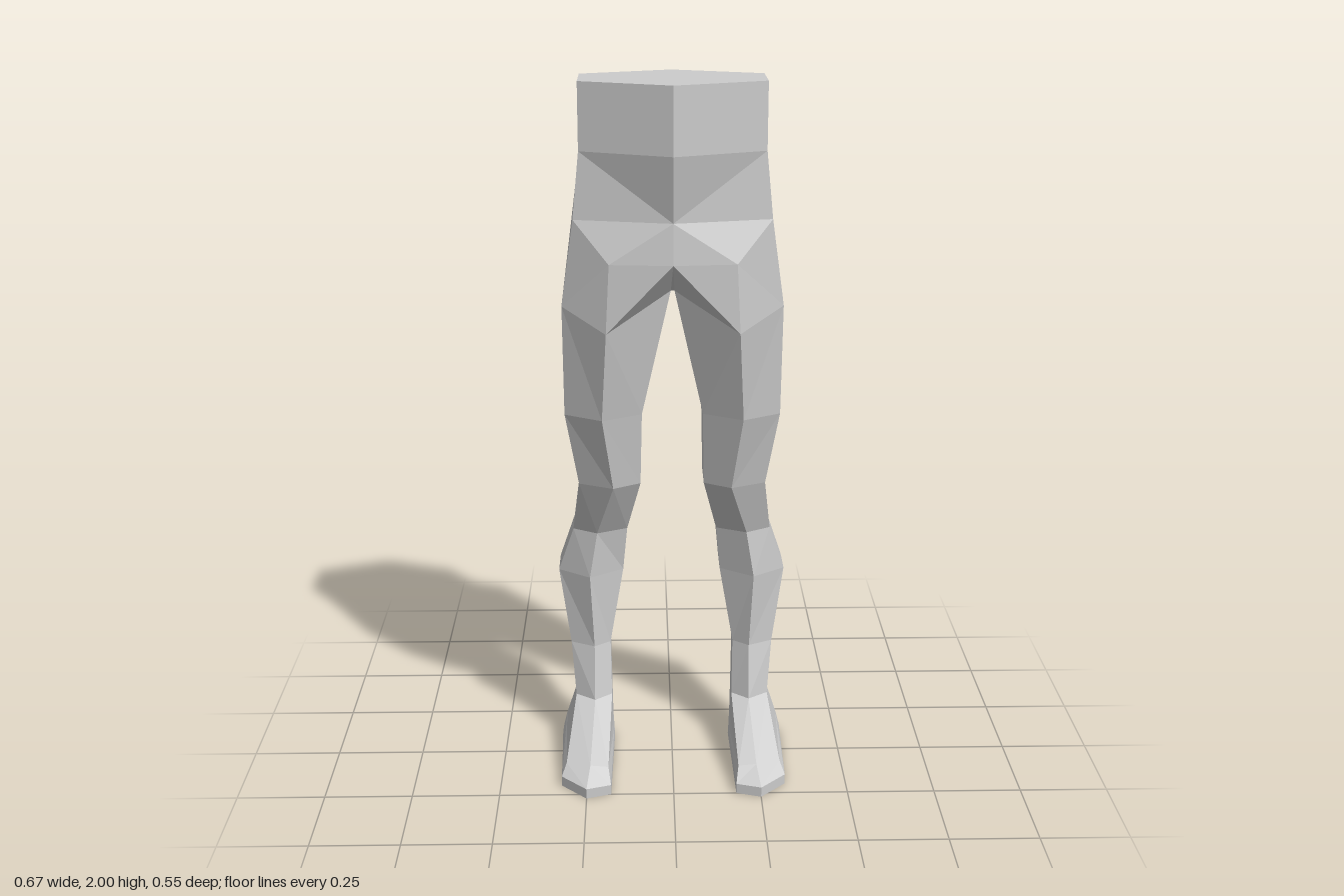
import * as THREE from 'three';

// Ring order: front, front-outer, back-outer, back, back-inner, front-inner
const quad = (a, b, c, d) => [[a, b, c], [a, c, d]];

function loft(rings) {
  const tris = [];
  for (let r = 0; r < rings.length - 1; r++) {
    const hi = rings[r], lo = rings[r + 1], n = hi.length;
    for (let i = 0; i < n; i++) {
      const j = (i + 1) % n;
      tris.push(...quad(lo[i], lo[j], hi[j], hi[i]));
    }
  }
  return tris;
}

// Mirror across x, reversing corners so faces stay outward
const mirror = (tris) => tris.map((t) => t.map(([x, y, z]) => [-x, y, z]).reverse());

function meshOf(name, tris, material) {
  const geometry = new THREE.BufferGeometry();
  geometry.setAttribute('position', new THREE.Float32BufferAttribute(tris.flat(2), 3));
  geometry.computeVertexNormals();
  const mesh = new THREE.Mesh(geometry, material);
  mesh.name = name;
  return mesh;
}

// Hexagonal leg section
const section = ([y, xOut, xIn, xF, zF, xB, zB, zFO, zBO]) => [
  [xF, y, zF], [xOut, y, zFO], [xOut, y, zBO], [xB, y, zB], [xIn, y, zBO], [xIn, y, zFO],
];

export function createModel() {
  const group = new THREE.Group();
  group.name = 'lowerBody';
  const skin = new THREE.MeshStandardMaterial({ color: 0xcccccc, flatShading: true });
  skin.name = 'plain grey';

  // Points shared by the hips and the top of the thigh
  const thighF = [0.18, 1.34, 0.153], hipF = [0.3, 1.4, 0.08];
  const hipB = [0.3, 1.4, -0.1], thighB = [0.18, 1.36, -0.165];
  const crotchF = [0.005, 1.44, 0.07], crotchB = [0.005, 1.44, -0.08];

  // Leg, thigh to ankle
  const sections = [
    [1.08, 0.3, 0.085, 0.195, 0.1, 0.19, -0.16, 0.04, -0.105],
    [0.86, 0.265, 0.09, 0.167, 0.045, 0.18, -0.19, 0, -0.125],
    [0.69, 0.287, 0.13, 0.217, -0.04, 0.21, -0.24, -0.08, -0.19],
    [0.55, 0.333, 0.143, 0.24, -0.04, 0.23, -0.273, -0.105, -0.214],
    [0.32, 0.3, 0.183, 0.23, -0.055, 0.235, -0.21, -0.09, -0.155],
    [0.16, 0.287, 0.18, 0.23, -0.02, 0.235, -0.17, -0.06, -0.135],
  ].map(section);
  const leg = loft([[thighF, hipF, hipB, thighB, crotchB, crotchF], ...sections]);

  // Foot, ankle to sole
  const footRings = [
    sections[sections.length - 1],
    [[0.24, 0.065, 0.2], [0.31, 0.055, 0.165], [0.32, 0.06, -0.13],
      [0.24, 0.06, -0.175], [0.178, 0.06, -0.13], [0.188, 0.06, 0.2]],
    [[0.25, 0.03, 0.272], [0.323, 0.03, 0.2], [0.33, 0.025, -0.11],
      [0.24, 0.025, -0.16], [0.175, 0.025, -0.11], [0.18, 0.03, 0.25]],
    [[0.25, 0, 0.272], [0.323, 0, 0.2], [0.333, 0, -0.1],
      [0.24, 0, -0.145], [0.173, 0, -0.1], [0.18, 0, 0.25]],
  ];
  const foot = loft(footRings);
  const sole = footRings[3];
  for (let i = 1; i < 5; i++) foot.push([sole[0], sole[i + 1], sole[i]]);

  // Half of the hips: waist bands, each front, front-side, back-side, back
  const bands = [
    [[0, 2, 0.197], [0.247, 2, 0.098], [0.247, 2, -0.063], [0, 2, -0.153]],
    [[0, 1.82, 0.197], [0.247, 1.82, 0.098], [0.247, 1.82, -0.063], [0, 1.82, -0.153]],
    [[0, 1.64, 0.157], [0.265, 1.64, 0.1], [0.27, 1.65, -0.13], [0, 1.66, -0.24]],
  ];
  const hips = [];
  for (let r = 0; r < 2; r++) {
    const hi = bands[r], lo = bands[r + 1];
    for (let i = 0; i < 3; i++) {
      if (i === 0) hips.push([lo[0], lo[1], hi[1]], [lo[0], hi[1], hi[0]]);
      else hips.push(...quad(lo[i], lo[i + 1], hi[i + 1], hi[i]));
    }
  }
  hips.push(...quad(...bands[0]));

  // Front of the groin, sides and seat
  const [frontTop, sideF, sideB, backTop] = bands[2];
  const groin = [0, 1.53, 0.167], groinSide = [0.17, 1.53, 0.153];
  const seat = [0, 1.56, -0.24], seatSide = [0.17, 1.52, -0.178];
  const crotchMidF = [0, 1.44, 0.07], crotchMidB = [0, 1.44, -0.08];
  hips.push(
    [groin, groinSide, frontTop], [groinSide, sideF, frontTop],
    [groinSide, hipF, sideF], [groinSide, thighF, hipF],
    [groin, thighF, groinSide], [groin, crotchF, thighF], [groin, crotchMidF, crotchF],
    ...quad(hipF, hipB, sideB, sideF),
    [hipB, seatSide, sideB], [sideB, seatSide, backTop], [seatSide, seat, backTop],
    [hipB, thighB, seatSide], [thighB, seat, seatSide], [thighB, crotchB, seat],
    [crotchB, crotchMidB, seat],
    ...quad(crotchMidF, crotchMidB, crotchB, crotchF),
  );

  group.add(meshOf('hips', [...hips, ...mirror(hips)], skin));
  for (const [part, tris] of [['Leg', leg], ['Foot', foot]]) {
    group.add(meshOf('left' + part, tris, skin), meshOf('right' + part, mirror(tris), skin));
  }
  return group;
}
